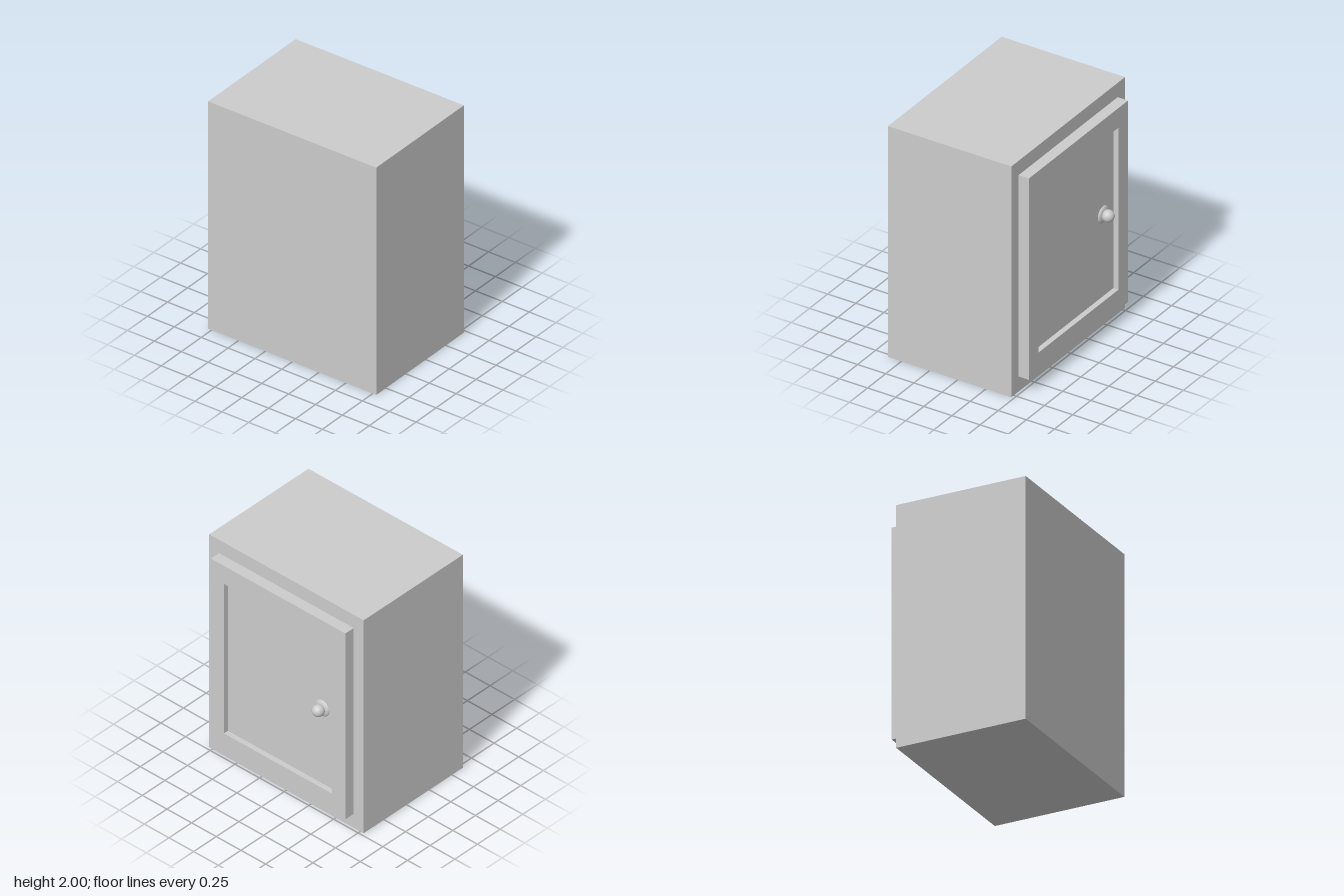
import * as THREE from 'three';

const material = new THREE.MeshStandardMaterial({ color: 0xcccccc });

// Box given by its minimum and maximum corners
function box(name, min, max) {
  const size = max.map((v, i) => v - min[i]);
  const mesh = new THREE.Mesh(new THREE.BoxGeometry(...size), material);
  mesh.position.set(...max.map((v, i) => (v + min[i]) / 2));
  mesh.name = name;
  return mesh;
}

// Traces a rectangle, symmetric about the vertical axis
function rectangle(path, halfWidth, bottom, top) {
  path.moveTo(-halfWidth, bottom);
  path.lineTo(halfWidth, bottom);
  path.lineTo(halfWidth, top);
  path.lineTo(-halfWidth, top);
  path.closePath();
  return path;
}

export function createModel() {
  const model = new THREE.Group();
  model.name = 'cabinet';
  const bodyFace = 0.476, panelFace = 0.523, doorFace = 0.568;

  // Cabinet body
  model.add(box('body', [-0.62, 0, -0.783], [bodyFace, 2, 0.783]));

  // Door: raised frame around a recessed panel, on the +x side
  const door = new THREE.Group();
  door.name = 'door';
  const outline = rectangle(new THREE.Shape(), 0.682, 0.13, 1.876);
  outline.holes.push(rectangle(new THREE.Path(), 0.549, 0.302, 1.706));
  const frame = new THREE.Mesh(
    new THREE.ExtrudeGeometry(outline, { depth: doorFace - bodyFace, bevelEnabled: false }),
    material
  );
  frame.name = 'doorFrame';
  frame.rotation.y = Math.PI / 2;
  frame.position.x = bodyFace;
  door.add(frame, box('doorPanel', [bodyFace, 0.302, -0.549], [panelFace, 1.706, 0.549]));

  // Knob: flared base plate and ball, standing out along +x
  const knob = new THREE.Group();
  knob.name = 'knob';
  const profile = [[0.071, 0], [0.07, 0.006], [0.062, 0.012], [0.048, 0.018], [0.03, 0.022], [0, 0.024]];
  const base = new THREE.Mesh(
    new THREE.LatheGeometry(profile.map(([r, h]) => new THREE.Vector2(r, h)), 32),
    material
  );
  base.name = 'knobBase';
  const ball = new THREE.Mesh(new THREE.SphereGeometry(0.05, 32, 20), material);
  ball.name = 'knobBall';
  ball.position.y = 0.045;
  knob.add(base, ball);
  knob.rotation.z = -Math.PI / 2;
  knob.position.set(panelFace, 1.012, -0.408);
  door.add(knob);

  model.add(door);
  return model;
}
